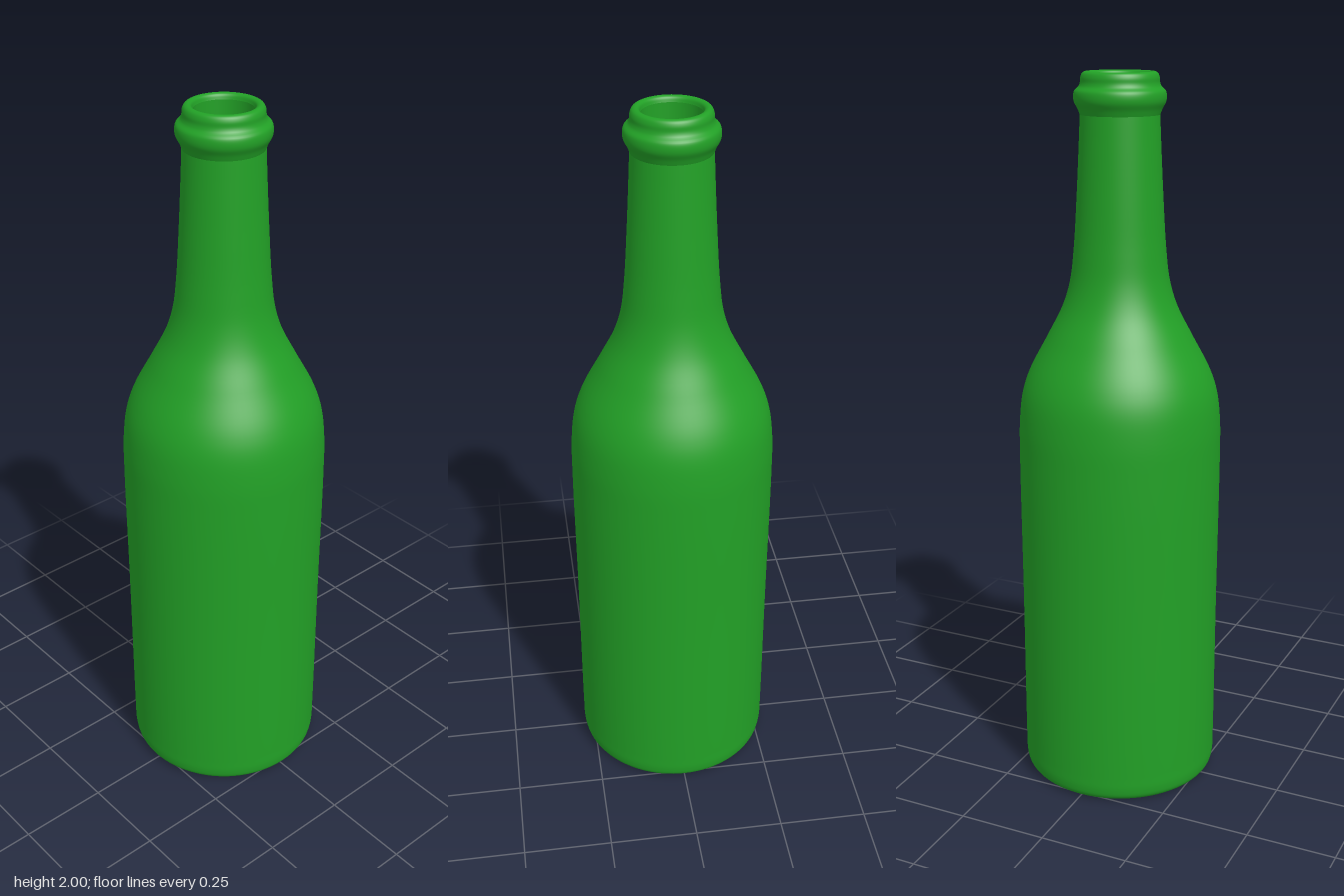
import * as THREE from 'three';

const glass = new THREE.MeshStandardMaterial({ color: 0x22a026 });

// Revolves a [radius, height] profile; smooths it with a spline when steps > 0
function revolve(name, profile, steps = 0) {
  let points = profile.map(([r, y]) => new THREE.Vector2(r, y));
  if (steps) {
    const curve = new THREE.CatmullRomCurve3(points.map((p) => new THREE.Vector3(p.x, p.y, 0)), false, 'centripetal');
    points = curve.getPoints(steps).map((p) => new THREE.Vector2(Math.max(p.x, 0), p.y));
  }
  const mesh = new THREE.Mesh(new THREE.LatheGeometry(points, 96), glass);
  mesh.name = name;
  return mesh;
}

export function createModel() {
  const bottle = new THREE.Group();
  bottle.name = 'bottle';

  // Conical hollow under the base, ending on the standing ring
  bottle.add(revolve('punt', [[0, 0.125], [0.08, 0.085], [0.16, 0.045], [0.215, 0.015], [0.235, 0.003], [0.245, 0]]));

  // Rounded heel, straight body, sloping shoulder and slender neck
  bottle.add(revolve('body', [
    [0.245, 0], [0.262, 0.003], [0.273, 0.014], [0.278, 0.035], [0.279, 0.08],
    [0.28, 0.55], [0.282, 0.95], [0.28, 1.06], [0.27, 1.14], [0.25, 1.2],
    [0.2, 1.295], [0.157, 1.38], [0.136, 1.45], [0.125, 1.54], [0.116, 1.68],
    [0.109, 1.82], [0.106, 1.89],
  ], 110));

  // Bulging collar and the mouth above it
  bottle.add(revolve('lip', [
    [0.106, 1.89], [0.112, 1.905], [0.121, 1.922], [0.123, 1.937], [0.12, 1.951],
    [0.109, 1.962], [0.105, 1.972], [0.104, 1.985], [0.099, 1.996], [0.09, 2],
    [0.081, 1.996], [0.077, 1.985],
  ], 44));

  // Inside wall, from the mouth down to the floor
  bottle.add(revolve('innerWall', [
    [0.077, 1.985], [0.078, 1.85], [0.09, 1.6], [0.105, 1.46], [0.13, 1.37],
    [0.175, 1.28], [0.225, 1.19], [0.25, 1.08], [0.255, 0.95], [0.252, 0.5],
    [0.25, 0.1], [0.235, 0.055],
  ], 60));
  bottle.add(revolve('innerFloor', [[0.235, 0.055], [0.16, 0.085], [0.08, 0.12], [0.03, 0.143], [0, 0.15]]));

  return bottle;
}
